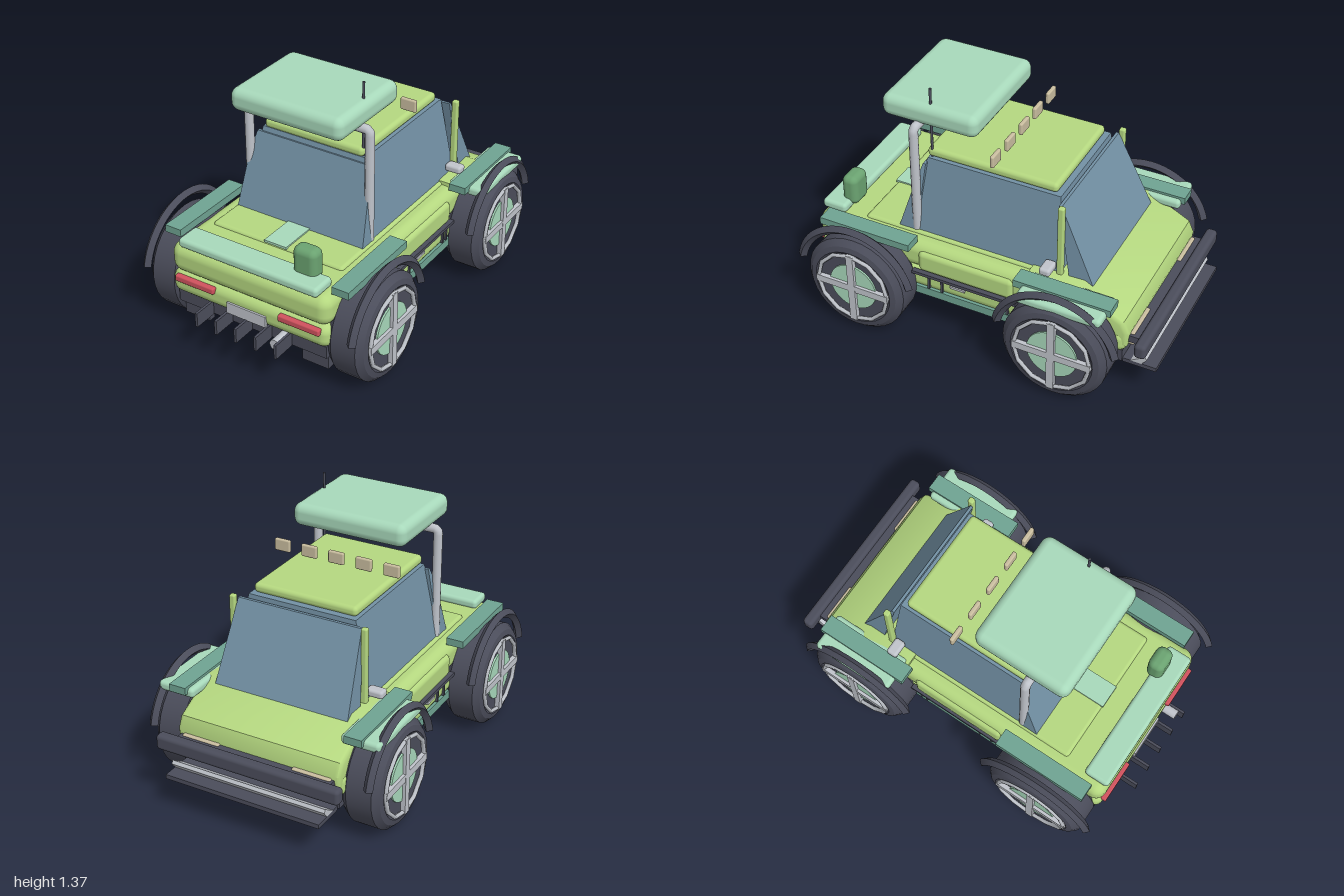
import * as THREE from 'three';
import { toCreasedNormals } from 'three/addons/utils/BufferGeometryUtils.js';
import { RoundedBoxGeometry } from 'three/addons/geometries/RoundedBoxGeometry.js';
import { ConvexGeometry } from 'three/addons/geometries/ConvexGeometry.js';

const paint = (name, color) => {
  const m = new THREE.MeshStandardMaterial({ color });
  m.name = name;
  return m;
};

export function createModel() {
  const car = new THREE.Group();
  car.name = 'offRoadCar';
  const lime = paint('lime', 0xb5d880);
  const mint = paint('mint', 0xa8d9bb);
  const teal = paint('teal', 0x6fa392);
  const dark = paint('charcoal', 0x4b4d5b);
  const glass = paint('glass', 0x7391a5);
  const tan = paint('tan', 0xc9bd9f);
  const silver = paint('silver', 0xc0c4cb);
  const red = paint('red', 0xd0525e);
  const green = paint('canGreen', 0x6ba371);

  const add = (name, geo, mat, parent = car) => {
    const m = new THREE.Mesh(geo, mat);
    m.name = name;
    parent.add(m);
    return m;
  };
  // Box given by its limits on each axis, with optional rounding
  const box = (name, mat, x0, x1, y0, y1, z0, z1, r = 0, parent = car) => {
    const s = [x1 - x0, y1 - y0, z1 - z0];
    const g = r ? new RoundedBoxGeometry(...s, 3, r) : new THREE.BoxGeometry(...s);
    const m = add(name, g, mat, parent);
    m.position.set((x0 + x1) / 2, (y0 + y1) / 2, (z0 + z1) / 2);
    return m;
  };
  // The same box on both sides of the car
  const pair = (name, mat, x0, x1, ...rest) => {
    box(name + 'Left', mat, x0, x1, ...rest);
    box(name + 'Right', mat, -x1, -x0, ...rest);
  };
  // Solid spanned by mirrored corners [x, y, z]
  const hull = (name, mat, pts) => add(name, new ConvexGeometry(
    pts.flatMap(([x, y, z]) => [new THREE.Vector3(x, y, z), new THREE.Vector3(-x, y, z)])), mat);

  // Body
  box('chassis', dark, -0.44, 0.44, 0.2, 0.27, -0.82, 0.84);
  box('lowerBody', lime, -0.465, 0.465, 0.26, 0.39, -0.84, 0.9, 0.05);
  box('upperBody', lime, -0.465, 0.465, 0.38, 0.545, -0.58, 0.9, 0.06);
  box('rearDeck', lime, -0.385, 0.385, 0.5, 0.56, -0.4, 0.65, 0.02);
  pair('flank', lime, 0.4, 0.48, 0.385, 0.51, -0.24, 0.3, 0.03);
  const profile = new THREE.Shape([[-0.3, 0.3], [-0.3, 0.565], [-0.58, 0.575], [-0.82, 0.455], [-0.85, 0.39], [-0.84, 0.3]]
    .map(p => new THREE.Vector2(...p)));
  const hood = new THREE.ExtrudeGeometry(profile, {
    depth: 0.86, bevelSize: 0.025, bevelThickness: 0.025, bevelOffset: -0.025, bevelSegments: 3 });
  hood.translate(0, 0, -0.43).rotateY(-Math.PI / 2);
  add('hood', toCreasedNormals(hood, 0.6), lime);
  box('deckVent', mint, -0.065, 0.065, 0.555, 0.568, 0.45, 0.655);

  // Cabin glass
  hull('cabinGlass', glass, [[0.37, 0.54, -0.45], [0.37, 0.54, 0.44], [0.3, 0.975, -0.41], [0.3, 0.975, 0.315]]);
  hull('windshield', glass, [[0.375, 0.54, -0.63], [0.375, 0.54, -0.5],
    [0.345, 0.955, -0.435], [0.345, 0.955, -0.42]]);
  hull('rearWindow', glass, [[0.375, 0.54, 0.46], [0.375, 0.54, 0.36],
    [0.352, 0.84, 0.365], [0.325, 0.95, 0.33], [0.325, 0.95, 0.315]]);
  box('roof', lime, -0.288, 0.288, 0.973, 1.025, -0.385, 0.325, 0.022);
  pair('pillar', lime, 0.352, 0.384, 0.56, 0.97, -0.462, -0.43, 0.008);
  pair('mirror', silver, 0.36, 0.452, 0.588, 0.63, -0.425, -0.365, 0.015);

  // Roof lamps
  for (let i = -2; i <= 2; i++)
    box('roofLamp', tan, i * 0.155 - 0.044, i * 0.155 + 0.044, 1.065, 1.13, -0.077, -0.055, 0.008);

  // Roll bar, roof tent and aerial
  const V = (x, y) => new THREE.Vector3(x, y, 0.36);
  const bar = new THREE.CurvePath();
  bar.add(new THREE.LineCurve3(V(-0.352, 0.54), V(-0.352, 1.14)));
  bar.add(new THREE.QuadraticBezierCurve3(V(-0.352, 1.14), V(-0.352, 1.163), V(-0.33, 1.163)));
  bar.add(new THREE.LineCurve3(V(-0.33, 1.163), V(0.33, 1.163)));
  bar.add(new THREE.QuadraticBezierCurve3(V(0.33, 1.163), V(0.352, 1.163), V(0.352, 1.14)));
  bar.add(new THREE.LineCurve3(V(0.352, 1.14), V(0.352, 0.54)));
  add('rollBar', new THREE.TubeGeometry(bar, 120, 0.024, 12), silver);
  box('roofTent', mint, -0.32, 0.32, 1.163, 1.285, 0.035, 0.563, 0.045);
  add('aerial', new THREE.CylinderGeometry(0.007, 0.007, 0.4, 8), dark).position.set(0.278, 1.17, 0.3);

  // Tail end
  box('rearBoard', mint, -0.405, 0.405, 0.538, 0.59, 0.76, 0.9, 0.02);
  box('fuelCan', green, 0.21, 0.343, 0.55, 0.72, 0.73, 0.82, 0.035);
  pair('tailLamp', red, 0.19, 0.425, 0.343, 0.378, 0.885, 0.917, 0.008);
  box('numberPlate', silver, -0.115, 0.115, 0.268, 0.33, 0.895, 0.91);
  box('rearSkidBar', dark, -0.44, 0.44, 0.195, 0.262, 0.8, 0.87);
  for (let i = -2; i <= 2; i++)
    box('diffuserFin', dark, i * 0.117 - 0.007, i * 0.117 + 0.007, 0.192, 0.27, 0.84, 1);
  pair('mudFlap', dark, 0.28, 0.43, 0.11, 0.22, 0.8, 0.84);
  const pipe = add('exhaust', new THREE.CylinderGeometry(0.028, 0.028, 0.14, 16), silver);
  pipe.rotation.x = Math.PI / 2;
  pipe.position.set(0.21, 0.245, 0.9);

  // Nose
  box('bumper', dark, -0.51, 0.51, 0.312, 0.395, -0.96, -0.9, 0.02);
  box('bumperMount', dark, -0.43, 0.43, 0.33, 0.37, -0.905, -0.82);
  box('grille', dark, -0.145, 0.145, 0.28, 0.36, -0.878, -0.83, 0.008);
  pair('headlamp', tan, 0.205, 0.415, 0.3, 0.378, -0.868, -0.83, 0.008);
  box('skidPlate', dark, -0.43, 0.43, 0.19, 0.213, -0.997, -0.82);
  hull('skidWedge', silver, [[0.43, 0.212, -0.86], [0.43, 0.262, -0.935], [0.43, 0.245, -0.945], [0.43, 0.212, -0.92]]);

  // Sills and side trim
  pair('sill', teal, 0.4, 0.465, 0.225, 0.272, -0.3, 0.36);
  pair('trimRail', dark, 0.46, 0.487, 0.365, 0.382, -0.26, 0.33);
  for (const z of [0.24, 0.165, -0.172, -0.207]) pair('trimPost', dark, 0.46, 0.475, 0.285, 0.37, z - 0.006, z + 0.006);
  pair('doorHandle', silver, 0.46, 0.482, 0.338, 0.352, 0.03, 0.112);

  // Wheel, turned about the x axis with its outer face towards +x
  const spin = (pts, n) => {
    const g = new THREE.LatheGeometry(pts.map(([r, x]) => new THREE.Vector2(r, x)), n);
    return toCreasedNormals(g.rotateZ(-Math.PI / 2), 0.45);
  };
  const tyreGeo = spin([[0, -0.115], [0.22, -0.115], [0.25, -0.1], [0.28, -0.06], [0.28, 0.075],
    [0.25, 0.105], [0.22, 0.112], [0.205, 0.1], [0, 0.095]], 32);
  tyreGeo.scale(-1, 1, 1);
  // Restore outward winding after the flip by rebuilding it turned round
  tyreGeo.scale(-1, 1, 1);
  const arcGeo = toCreasedNormals(
    new THREE.TorusGeometry(0.322, 0.025, 4, 24, Math.PI - 0.44).rotateZ(0.22).rotateY(Math.PI / 2), 0.45);

  for (const side of [1, -1]) for (const z of [0.597, -0.527]) {
    const corner = new THREE.Group();
    corner.name = (z > 0 ? 'rear' : 'front') + (side > 0 ? 'LeftWheel' : 'RightWheel');
    corner.position.set(side * 0.525, 0.28, z);
    if (side < 0) corner.rotation.y = Math.PI;
    car.add(corner);
    add('tyre', tyreGeo, dark, corner);
    const disc = add('hubDisc', new THREE.CylinderGeometry(0.135, 0.135, 0.02, 32), mint, corner);
    disc.rotation.z = Math.PI / 2;
    disc.position.x = 0.098;
    const ring = add('rimRing', new THREE.TorusGeometry(0.205, 0.011, 6, 12), silver, corner);
    ring.rotation.y = Math.PI / 2;
    ring.position.x = 0.112;
    box('spokeUpright', silver, 0.09, 0.125, -0.21, 0.21, -0.02, 0.02, 0, corner);
    box('spokeLevel', silver, 0.09, 0.124, -0.02, 0.02, -0.21, 0.21, 0, corner);
    add('wheelArch', arcGeo, dark, corner).position.set(0.078, 0.012, 0);
  }
  // Fenders over the wheels
  pair('frontFender', mint, 0.412, 0.618, 0.52, 0.572, -0.765, -0.315, 0.02);
  pair('frontFenderPlate', teal, 0.442, 0.537, 0.545, 0.585, -0.785, -0.27);
  pair('rearFenderPlate', teal, 0.442, 0.537, 0.545, 0.585, 0.312, 0.83);
  return car;
}
